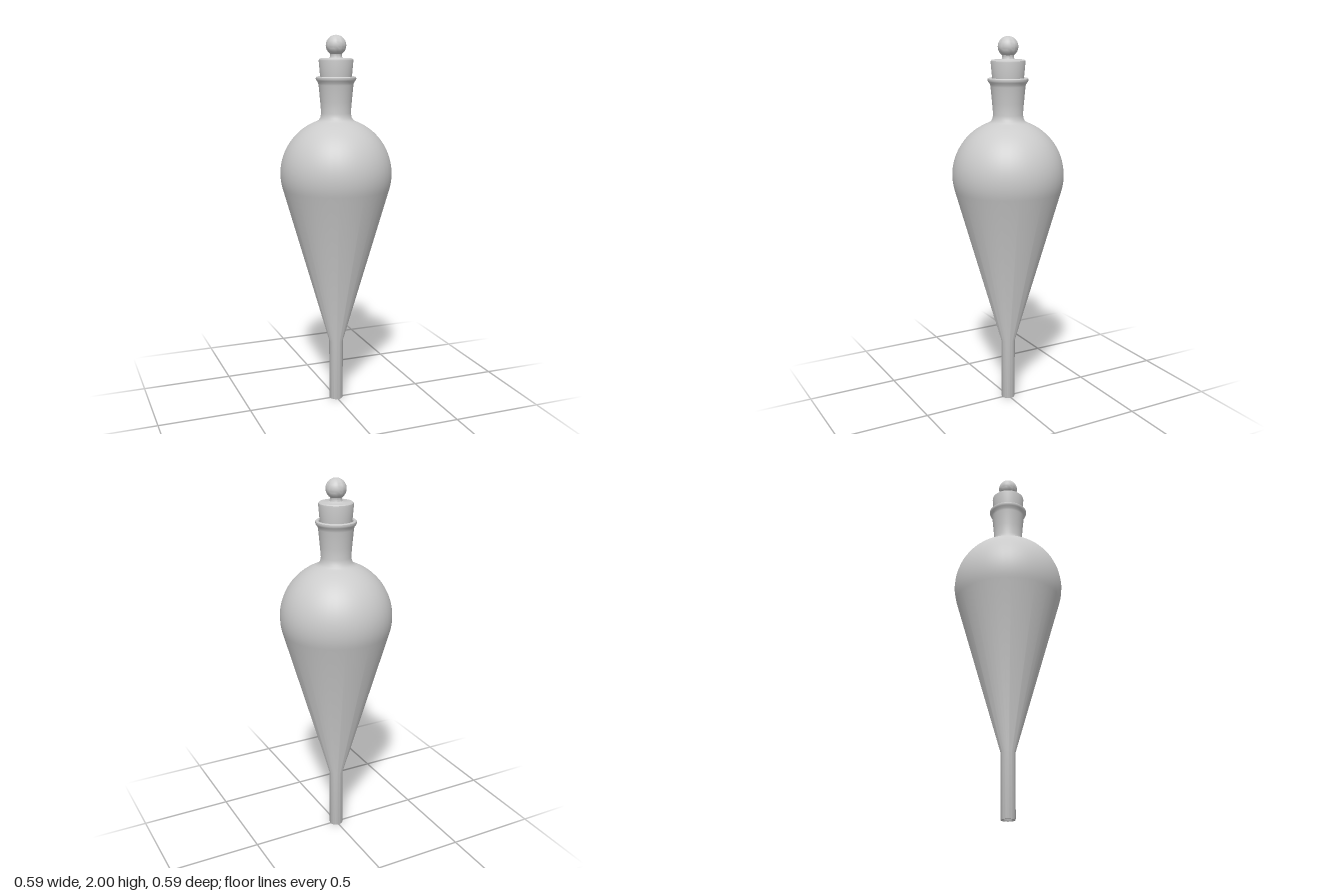
import * as THREE from 'three';
import { toCreasedNormals } from 'three/addons/utils/BufferGeometryUtils.js';

const material = new THREE.MeshStandardMaterial({ color: 0xcccccc });

// Points [radius, height] along an arc; angles in degrees above the horizontal
function arc(cy, radius, from, to, steps) {
  return Array.from({ length: steps + 1 }, (_, i) => {
    const a = THREE.MathUtils.degToRad(from + ((to - from) * i) / steps);
    return [Math.max(0, radius * Math.cos(a)), cy + radius * Math.sin(a)];
  });
}

function turned(name, profile, segments, crease = 0.6) {
  const points = profile.map(([r, y]) => new THREE.Vector2(r, y));
  const geometry = toCreasedNormals(new THREE.LatheGeometry(points, segments), crease);
  const mesh = new THREE.Mesh(geometry, material);
  mesh.name = name;
  return mesh;
}

export function createModel() {
  const group = new THREE.Group();
  group.name = 'separatingFunnel';

  // Hollow glass vessel: down the inside, then up the outside to the lip
  const inside = [
    [0.088, 1.785], [0.08, 1.75], [0.066, 1.6],
    ...arc(1.28, 0.283, 76, -16, 20),
    [0.026, 0.34], [0.026, 0.005],
  ];
  const outside = [
    [0.029, 0], [0.036, 0], [0.038, 0.006], [0.038, 0.34],
    ...arc(1.28, 0.296, -16, 69, 24),
    [0.092, 1.563], [0.083, 1.577], [0.078, 1.6],
    [0.083, 1.66], [0.091, 1.745], [0.094, 1.758], [0.102, 1.768],
    [0.106, 1.777], [0.105, 1.785], [0.1, 1.789], [0.093, 1.789], [0.088, 1.785],
  ];
  group.add(turned('vessel', [...inside, ...outside], 40));

  // Stopper plug with a rounded shoulder and a waisted stalk
  group.add(turned('stopper', [
    [0, 1.66], [0.07, 1.66], [0.083, 1.79], [0.09, 1.868],
    [0.089, 1.876], [0.084, 1.881], [0.076, 1.882], [0.04, 1.882],
    [0.033, 1.886], [0.03, 1.895], [0.032, 1.908], [0.035, 1.915],
  ], 32));

  // Ball grip
  group.add(turned('stopperKnob', arc(1.947, 0.053, -90, 90, 20), 32));
  return group;
}
